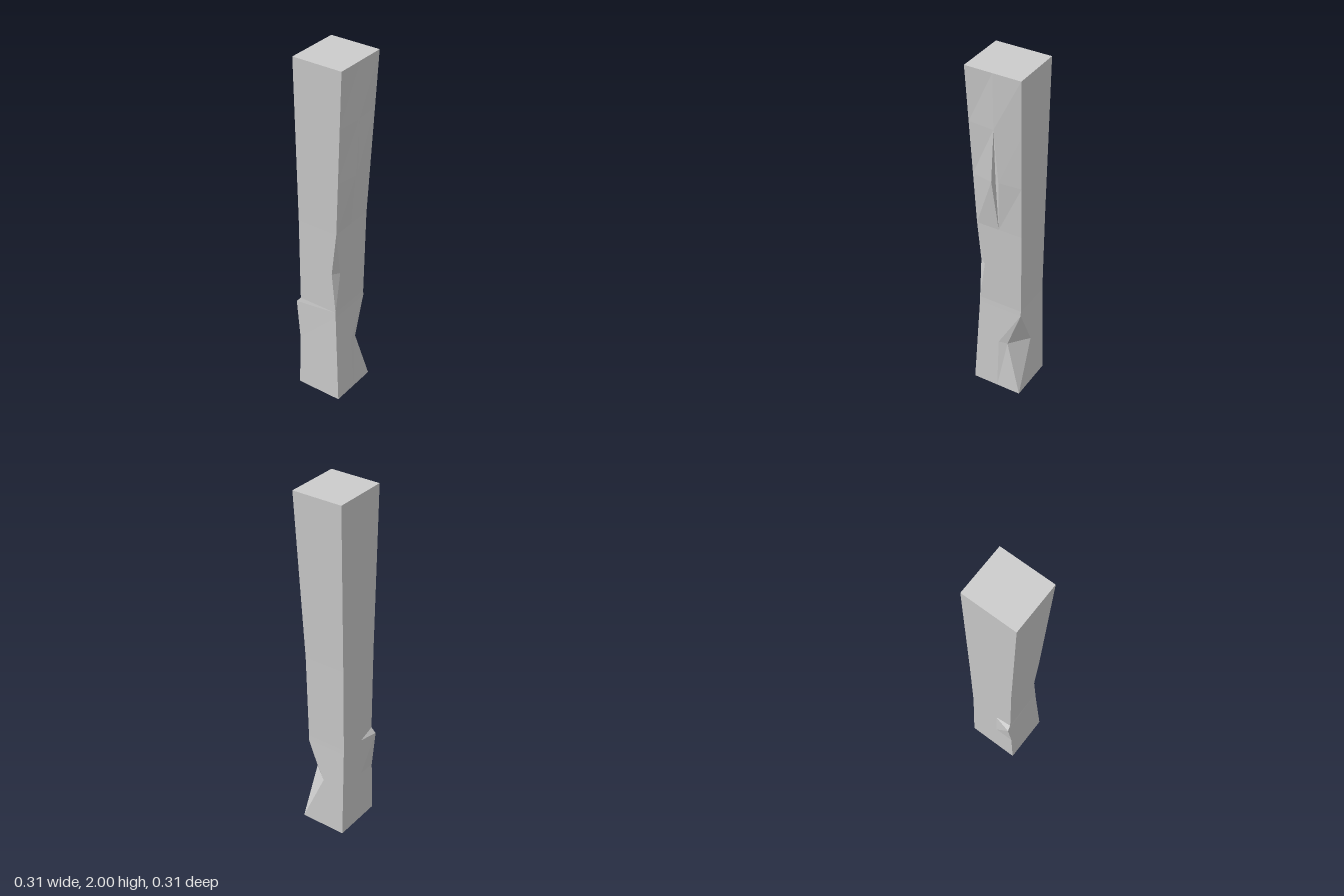
import * as THREE from 'three';

// Post profile: [y, right x, front z, back z]
const PROFILE = [
  [0, 0.135, 0.147, -0.142],
  [0.56, 0.1, 0.126, -0.13],
  [1.07, 0.108, 0.131, -0.137],
  [2, 0.155, 0.156, -0.156],
];
const LEFT = -0.132;
const LEVELS = [0, 0.31, 0.54, 0.57, 0.81, 1.07, 1.38, 1.69, 2];

function sample(y) {
  let i = 0;
  while (i < PROFILE.length - 2 && y > PROFILE[i + 1][0]) i++;
  const a = PROFILE[i], b = PROFILE[i + 1];
  const t = (y - a[0]) / (b[0] - a[0]);
  return [1, 2, 3].map((k) => a[k] + (b[k] - a[k]) * t);
}

// One cross-section, counter-clockwise from above; corners are split in two where chipped
function ring(y) {
  const [r, f, b] = sample(y);
  const p = [
    [LEFT, f], [r, f], [r, f], // front left, front right (front side, right side)
    [r, 0], [r, 0], [r, 0], // crack: lip, floor, far edge
    [r, b], [r, b], // back right
    [LEFT, b], [LEFT, b], // back left
    [LEFT, 0.03], // left face
  ];
  if (y === 0.31) { p[6] = [r - 0.01, -0.05]; p[7] = [0, b]; } // large back right chip
  if (y === 0.54) p[0] = [-0.157, 0.13]; // ledge at front left
  if (y === 0.81) { p[1] = [0.077, f]; p[2] = [r, 0.09]; } // front right chip
  if (y === 1.38) { // crack in the right face, back left chip
    p[3] = [0.146, 0.018]; p[4] = [0.125, 0.006]; p[5] = [0.135, -0.016];
    p[8] = [-0.085, b];
  }
  if (y === 1.69) {
    for (const k of [3, 4, 5]) p[k] = [0.15, 0];
    p[8] = [-0.108, b];
  }
  return p.map(([x, z]) => new THREE.Vector3(x, y, z));
}

function postGeometry() {
  const rings = LEVELS.map(ring);
  const n = rings[0].length;
  const pos = [];
  const tri = (a, b, c) => {
    const area = b.clone().sub(a).cross(c.clone().sub(a)).length();
    if (area > 1e-7) pos.push(...a.toArray(), ...b.toArray(), ...c.toArray());
  };
  // Sides
  for (let j = 0; j < rings.length - 1; j++) {
    const lo = rings[j], hi = rings[j + 1];
    for (let i = 0; i < n; i++) {
      const k = (i + 1) % n;
      tri(lo[i], lo[k], hi[k]);
      tri(lo[i], hi[k], hi[i]);
    }
  }
  // End caps
  const bottom = rings[0], top = rings[rings.length - 1];
  for (let i = 1; i < n - 1; i++) {
    tri(top[0], top[i], top[i + 1]);
    tri(bottom[0], bottom[i + 1], bottom[i]);
  }
  const g = new THREE.BufferGeometry();
  g.setAttribute('position', new THREE.Float32BufferAttribute(pos, 3));
  g.computeVertexNormals();
  return g;
}

export function createModel() {
  const group = new THREE.Group();
  group.name = 'chippedPost';
  const post = new THREE.Mesh(
    postGeometry(),
    new THREE.MeshStandardMaterial({ color: 0xcccccc, flatShading: true })
  );
  post.name = 'post';
  group.add(post);
  return group;
}
